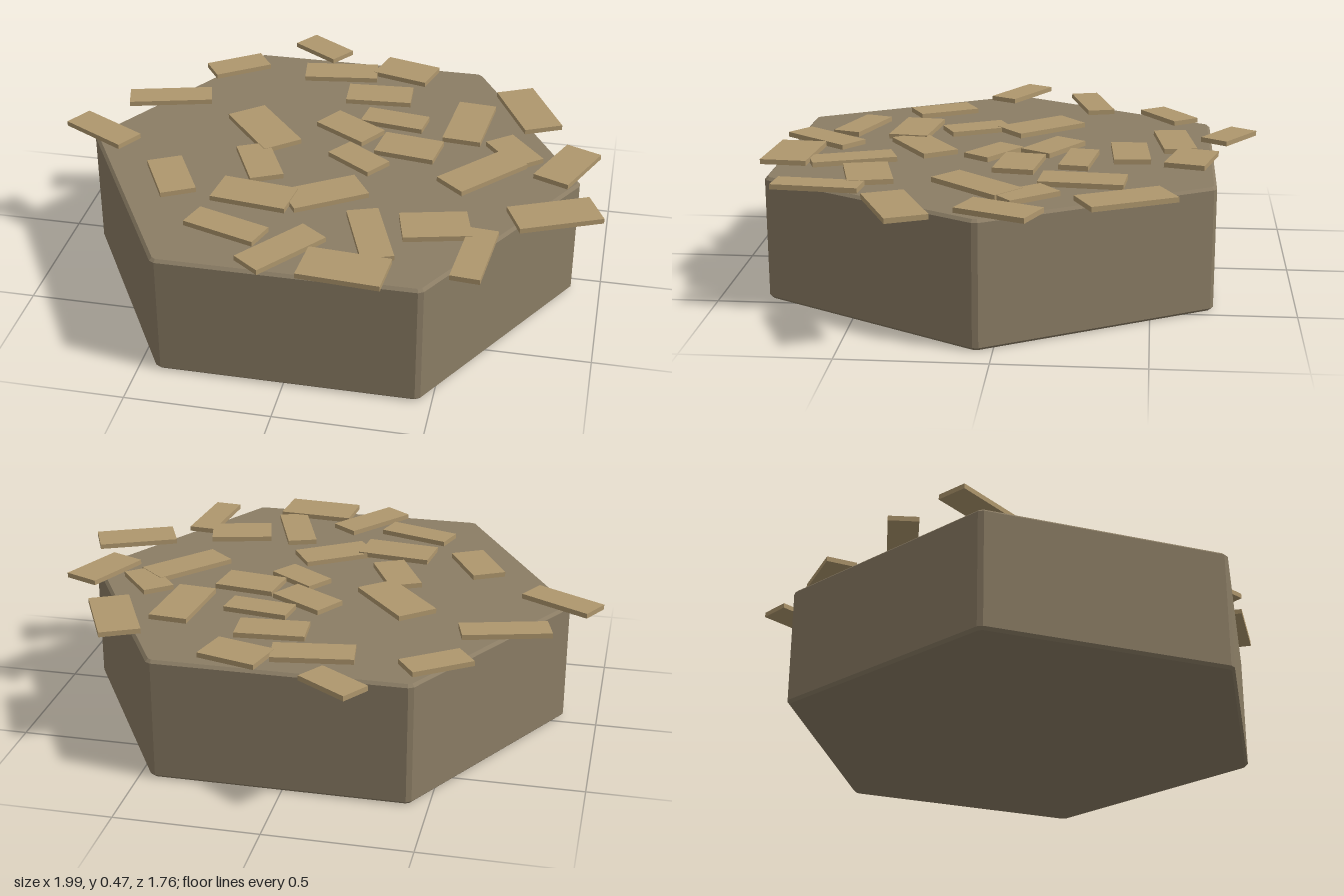
import * as THREE from 'three';

const stone = new THREE.MeshStandardMaterial({ color: 0x8b7d65, flatShading: true });
stone.name = 'dull brown';
const wood = new THREE.MeshStandardMaterial({ color: 0xaf976d, flatShading: true });
wood.name = 'light tan';

// centre x, centre z, length, width, angle in degrees (clockwise from above)
const PLANKS = [
  [-0.19, -0.78, 0.21, 0.11, 34], [-0.49, -0.56, 0.225, 0.11, -35],
  [-0.08, -0.58, 0.28, 0.12, -8], [0.17, -0.635, 0.215, 0.145, 15],
  [0.67, -0.415, 0.31, 0.145, 64], [-0.68, -0.255, 0.31, 0.105, -15],
  [0.1, -0.42, 0.245, 0.13, -4], [0.04, -0.14, 0.225, 0.125, 32],
  [0.19, -0.24, 0.235, 0.105, 8], [0.465, -0.265, 0.29, 0.14, 95],
  [-0.27, -0.075, 0.3, 0.15, 50], [0.275, -0.035, 0.22, 0.145, 8],
  [0.11, 0.07, 0.2, 0.11, 35], [0.65, -0.085, 0.2, 0.115, 51],
  [0.555, 0.085, 0.31, 0.13, -49], [0.845, -0.015, 0.255, 0.135, 113],
  [-0.85, 0.045, 0.275, 0.11, 29], [-0.23, 0.165, 0.235, 0.12, 64],
  [-0.51, 0.325, 0.235, 0.125, 62], [-0.195, 0.39, 0.27, 0.145, 7],
  [0.04, 0.33, 0.275, 0.135, -33], [-0.24, 0.605, 0.27, 0.105, 18],
  [-0.03, 0.705, 0.295, 0.115, -53], [0.195, 0.78, 0.28, 0.165, 4],
  [0.24, 0.56, 0.3, 0.11, 70], [0.595, 0.615, 0.3, 0.1, 95],
  [0.445, 0.47, 0.23, 0.155, -14], [0.83, 0.32, 0.295, 0.145, -24],
];

// Hexagonal block with every edge slightly chamfered
function hexBlock(radius, height, bevel) {
  const corners = [];
  for (let i = 0; i < 6; i++) {
    const a = (i * Math.PI) / 3;
    corners.push(new THREE.Vector2(Math.cos(a), Math.sin(a)).multiplyScalar(radius - bevel));
  }
  const outline = [];
  corners.forEach((c, i) => {
    outline.push(c.clone().lerp(corners[(i + 5) % 6], 0.01), c.clone().lerp(corners[(i + 1) % 6], 0.01));
  });
  const geo = new THREE.ExtrudeGeometry(new THREE.Shape(outline), {
    depth: height - 2 * bevel, bevelEnabled: true, bevelSize: bevel, bevelThickness: bevel, bevelSegments: 1,
  });
  return geo.rotateX(-Math.PI / 2).translate(0, bevel, 0);
}

export function createModel() {
  const model = new THREE.Group();
  model.name = 'hexTile';

  const base = new THREE.Mesh(hexBlock(0.89, 0.44, 0.01), stone);
  base.name = 'hexBase';
  base.position.set(0.01, 0, 0.056);
  model.add(base);

  // Loose planks scattered over the top, at slightly staggered heights
  const planks = new THREE.Group();
  planks.name = 'planks';
  PLANKS.forEach(([x, z, length, width, deg], i) => {
    const plank = new THREE.Mesh(new THREE.BoxGeometry(length, 0.018, width), wood);
    plank.name = `plank${i + 1}`;
    plank.position.set(x, 0.455 + (i % 4) * 0.0015, z);
    plank.rotation.y = -THREE.MathUtils.degToRad(deg);
    planks.add(plank);
  });
  model.add(planks);
  return model;
}
